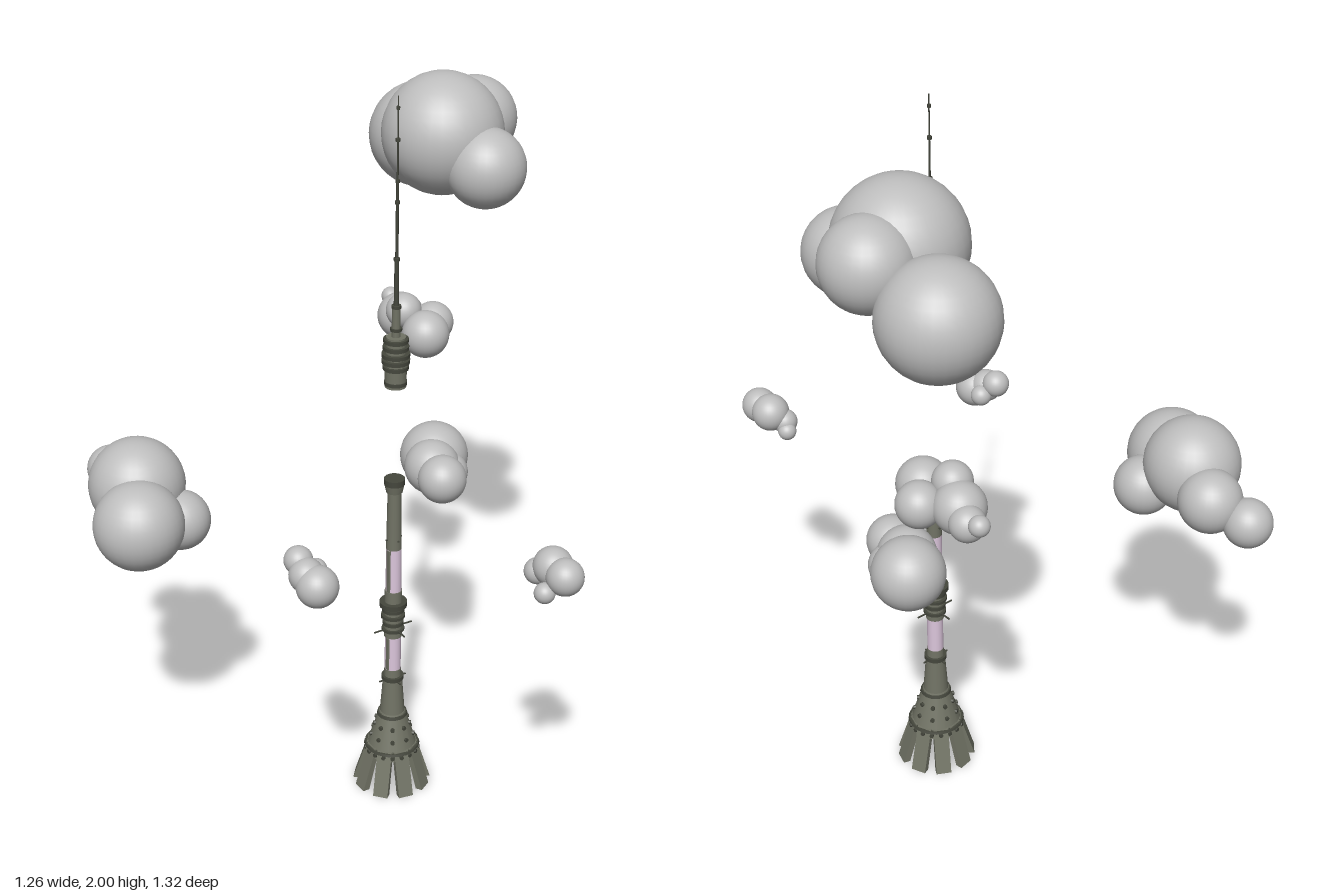
import * as THREE from 'three';

const material = (name, color) => {
  const m = new THREE.MeshStandardMaterial({ color });
  m.name = name;
  return m;
};

export function createModel() {
  const model = new THREE.Group();
  const concrete = material('olive concrete', 0x717365);
  const dark = material('dark metal', 0x45473d);
  const pink = material('pale pink', 0xdcc6dc);
  const cloudGrey = material('cloud grey', 0xbebebe);

  const tower = new THREE.Group();
  tower.name = 'tower';
  tower.position.set(0.112, 0, 0.014);
  model.add(tower);

  const add = (name, geometry, mat, parent = tower) => {
    const mesh = new THREE.Mesh(geometry, mat);
    mesh.name = name;
    parent.add(mesh);
    return mesh;
  };
  // Tapered round section between two heights
  const section = (name, y0, y1, r0, r1, mat = concrete, sides = 18) => {
    const g = new THREE.CylinderGeometry(r1, r0, y1 - y0, sides);
    g.translate(0, (y0 + y1) / 2, 0);
    return add(name, g, mat);
  };

  // Splayed legs
  const legShape = new THREE.Shape([
    [0.107, 0], [0.068, 0.128], [0.054, 0.128], [0.088, 0],
  ].map(([x, y]) => new THREE.Vector2(x, y)));
  const legGeometry = new THREE.ExtrudeGeometry(legShape, { depth: 0.042, bevelEnabled: false });
  legGeometry.translate(0, 0, -0.021);
  for (let i = 0; i < 9; i++) {
    const angle = THREE.MathUtils.degToRad(181 + i * 40);
    add('leg', legGeometry, concrete).rotation.y = angle;
  }

  // Conical foot with ledges and portholes
  section('foot', 0.1, 0.23, 0.076, 0.036);
  section('footLedge', 0.119, 0.125, 0.078, 0.076, dark);
  section('footCollar', 0.218, 0.226, 0.043, 0.041, dark);
  for (const [y, r, count] of [[0.112, 0.074, 18], [0.155, 0.059, 9], [0.19, 0.049, 9]]) {
    for (let i = 0; i < count; i++) {
      const g = new THREE.CylinderGeometry(0.006, 0.006, 0.009, 8);
      g.rotateZ(Math.PI / 2);
      g.translate(r, y, 0);
      add('porthole', g, dark).rotation.y = (i / count) * Math.PI * 2;
    }
  }

  // Shaft, with two pink bands
  section('lowerShaft', 0.225, 0.345, 0.035, 0.026);
  section('lowerCollar', 0.335, 0.347, 0.031, 0.031, dark);
  section('shaftNeck', 0.345, 0.37, 0.024, 0.023);
  section('lowerPinkBand', 0.37, 0.475, 0.0225, 0.022, pink);
  section('middleShaft', 0.475, 0.62, 0.025, 0.024);
  section('upperPinkBand', 0.62, 0.75, 0.0215, 0.021, pink);
  section('upperShaft', 0.75, 0.93, 0.021, 0.018);
  for (const [y, h] of [[0.422, 0.1], [0.685, 0.128]]) {
    const g = new THREE.BoxGeometry(0.006, h, 0.012);
    g.translate(-0.0195, y, 0.006);
    add('darkStrip', g, concrete);
  }

  // Balcony rings around the middle of the shaft
  for (const [y, r, h] of [[0.498, 0.031, 0.008], [0.518, 0.029, 0.01], [0.54, 0.033, 0.008],
    [0.56, 0.031, 0.01], [0.578, 0.038, 0.014], [0.605, 0.024, 0.006]]) {
    section('balconyRing', y - h / 2, y + h / 2, r, r, dark);
  }

  // Thin rods sticking out of the shaft
  for (const [y, length] of [[0.225, 0.08], [0.335, 0.085], [0.5, 0.12], [0.78, 0.05]]) {
    for (const turn of [0, Math.PI / 2]) {
      const g = new THREE.BoxGeometry(length, 0.003, 0.004);
      g.translate(0, y, 0);
      add('rod', g, dark).rotation.y = turn;
    }
  }

  // Cap of the shaft
  section('shaftCap', 0.922, 0.945, 0.022, 0.027);
  section('shaftCapRim', 0.945, 0.962, 0.028, 0.028, dark);

  // Floating cabin
  section('cabinBase', 1.23, 1.29, 0.028, 0.029);
  section('cabinCore', 1.285, 1.37, 0.027, 0.026);
  for (const [y, r] of [[1.242, 0.03], [1.285, 0.034], [1.303, 0.037], [1.32, 0.037],
    [1.34, 0.034], [1.36, 0.033]]) {
    section('cabinRing', y - 0.005, y + 0.005, r, r, dark);
  }

  // Stepped mast with joints
  section('mastBase', 1.37, 1.45, 0.012, 0.011, concrete, 10);
  section('mastLower', 1.45, 1.58, 0.007, 0.006, dark, 8);
  section('mastMiddle', 1.58, 1.78, 0.0042, 0.0038, dark, 6);
  section('mastTop', 1.78, 2, 0.0026, 0.0016, dark, 6);
  for (const [y, r] of [[1.39, 0.016], [1.452, 0.013], [1.58, 0.008], [1.73, 0.0065],
    [1.785, 0.006], [1.89, 0.006], [1.97, 0.0045]]) {
    section('mastJoint', y - 0.004, y + 0.004, r, r, dark, 8);
  }

  // Clouds: x, y, z, radius of each puff
  const clouds = {
    highCloud: [[0.392, 1.796, -0.215, 0.161], [0.466, 1.72, -0.433, 0.143],
      [0.518, 1.804, -0.257, 0.113], [0.434, 1.735, -0.075, 0.106]],
    smallHighCloud: [[0.4, 1.195, -0.293, 0.066], [0.463, 1.195, -0.354, 0.058],
      [0.405, 1.2, -0.43, 0.066], [0.43, 1.195, -0.487, 0.045],
      [0.435, 1.215, -0.534, 0.026], [0.383, 1.238, -0.38, 0.05]],
    rearLeftCloud: [[0.375, 0.868, -0.2, 0.095], [0.315, 0.868, -0.065, 0.067],
      [0.37, 0.85, -0.125, 0.058], [0.33, 0.87, -0.14, 0.077]],
    rearRightCloud: [[-0.455, 0.92, -0.373, 0.13], [-0.512, 0.872, -0.247, 0.121],
      [-0.392, 0.895, -0.5, 0.086], [-0.43, 0.86, -0.6, 0.066], [-0.378, 0.838, -0.275, 0.081]],
    frontLeftCloud: [[0.238, 0.928, 0.555, 0.051], [0.235, 0.925, 0.61, 0.048],
      [0.225, 0.888, 0.5, 0.025], [0.187, 0.886, 0.594, 0.027], [0.215, 0.905, 0.522, 0.034]],
    frontRightCloud: [[-0.305, 0.948, 0.238, 0.037], [-0.295, 0.908, 0.314, 0.054],
      [-0.266, 0.918, 0.255, 0.029], [-0.305, 0.925, 0.278, 0.045]],
  };
  for (const [name, puffs] of Object.entries(clouds)) {
    const cloud = new THREE.Group();
    cloud.name = name;
    model.add(cloud);
    for (const [x, y, z, r] of puffs) {
      add('puff', new THREE.SphereGeometry(r, 32, 20), cloudGrey, cloud).position.set(x, y, z);
    }
  }
  return model;
}
